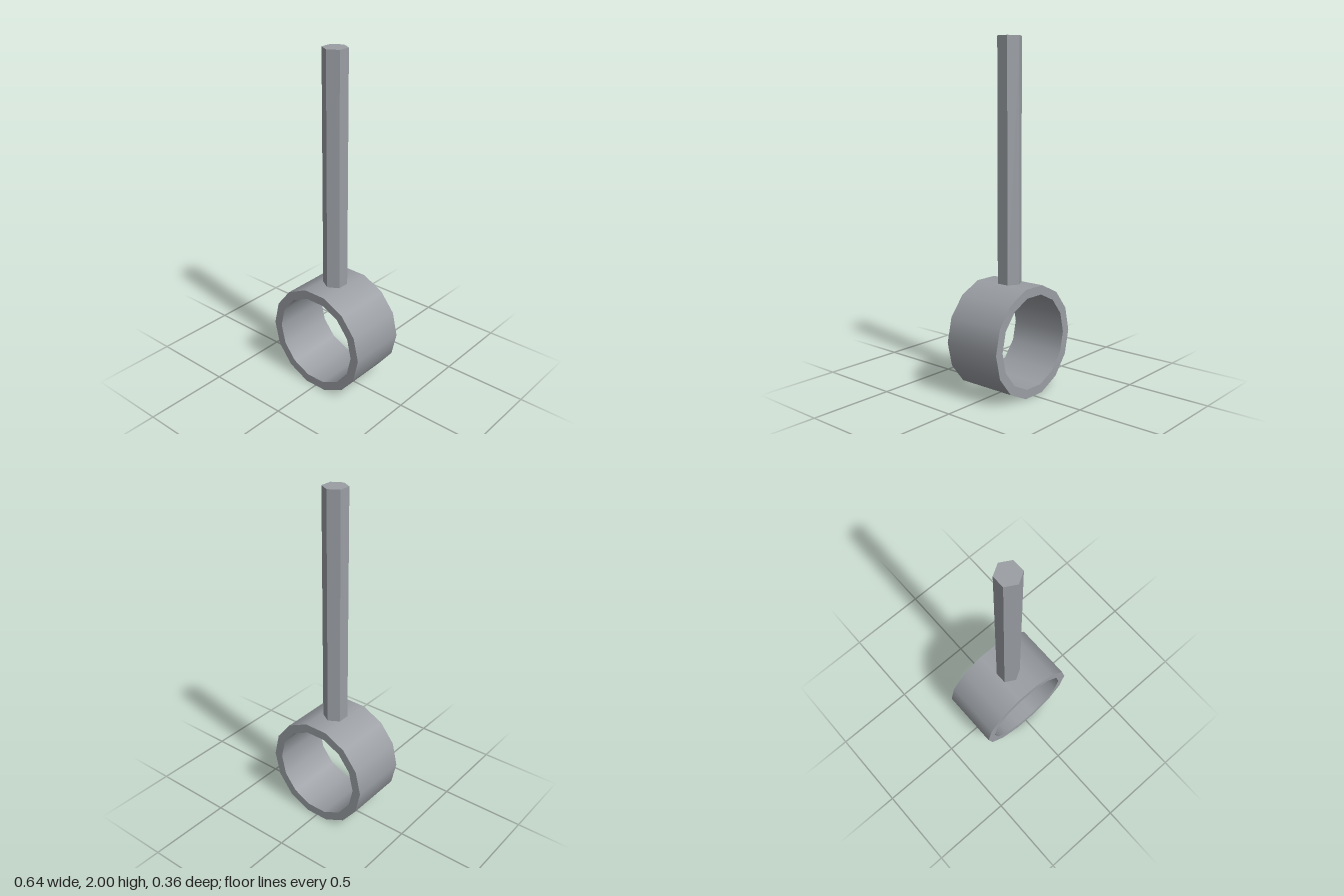
import * as THREE from 'three';
import { mergeGeometries } from 'three/addons/utils/BufferGeometryUtils.js';

const SIDES = 14, OUTER = 0.322, INNER = 0.269, HALF = 0.18;
const CENTRE_Y = OUTER * Math.cos(Math.PI / SIDES);

// Smooth round wall along z; the direction of the profile sets which way it faces
function wall(radius, from, to) {
  const profile = [new THREE.Vector2(radius, from), new THREE.Vector2(radius, to)];
  return new THREE.LatheGeometry(profile, SIDES, Math.PI / 2).rotateX(Math.PI / 2);
}

// Flat annular end face
function rim() {
  return new THREE.RingGeometry(INNER, OUTER, SIDES).translate(0, 0, HALF);
}

export function createModel() {
  const model = new THREE.Group();
  const steel = new THREE.MeshStandardMaterial({ color: 0x9a9ea3 });
  steel.name = 'steel grey';

  // Hollow ring, lying along z
  const ring = new THREE.Mesh(mergeGeometries([
    wall(OUTER, -HALF, HALF),
    wall(INNER, HALF, -HALF),
    rim(),
    rim().rotateY(Math.PI),
  ]), steel);
  ring.name = 'ring';
  ring.position.y = CENTRE_Y;

  // Hexagonal rod, its foot just poking through the ring wall
  const foot = 0.572, top = 2;
  const rodGeometry = new THREE.CylinderGeometry(0.071, 0.071, top - foot, 6).toNonIndexed();
  rodGeometry.computeVertexNormals();
  const rod = new THREE.Mesh(rodGeometry, steel);
  rod.name = 'rod';
  rod.position.y = (top + foot) / 2;

  model.add(ring, rod);
  return model;
}
